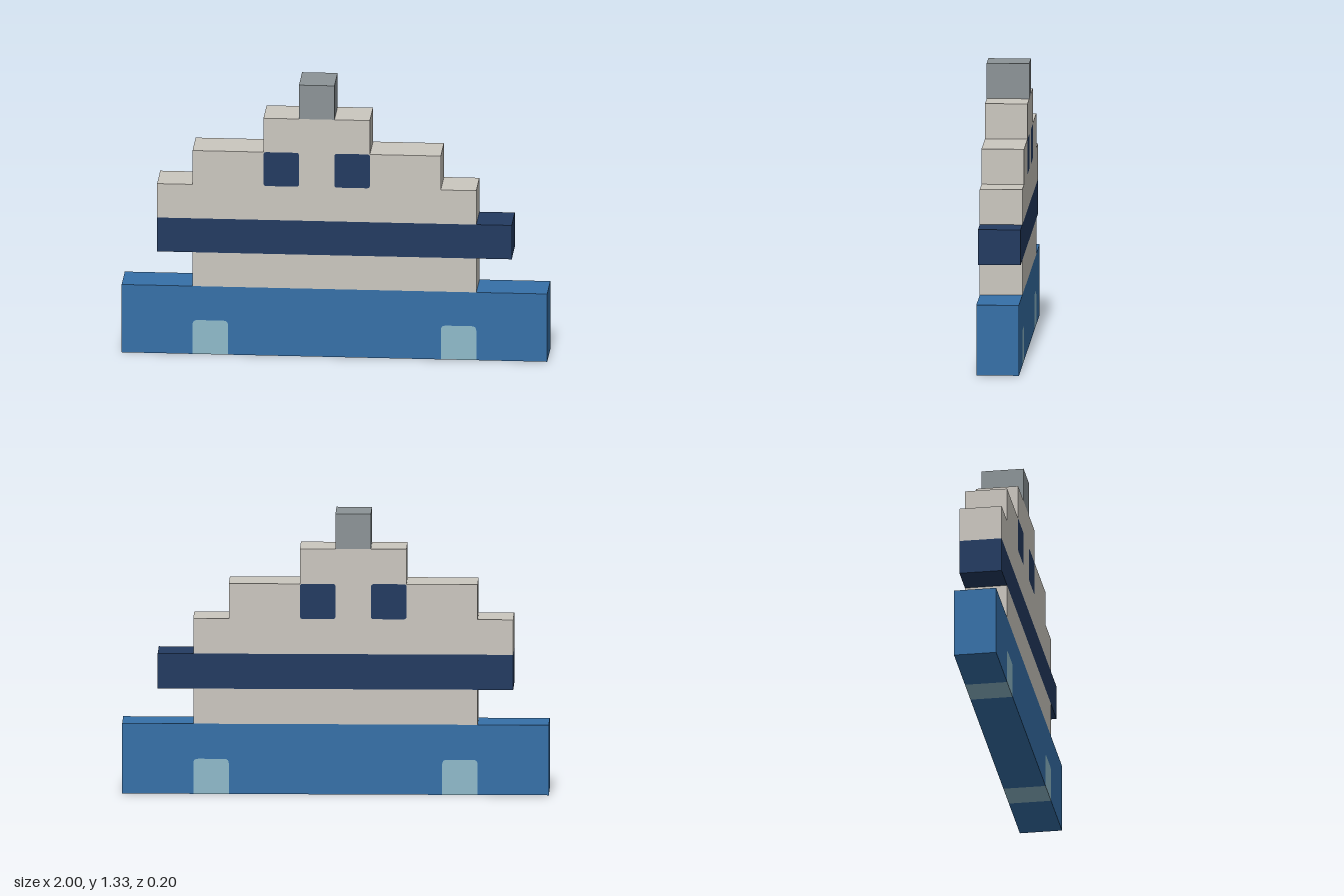
import * as THREE from 'three';

const U = 1 / 6;      // one block of the design
const DEPTH = 0.2;

const material = (name, color) => {
  const m = new THREE.MeshStandardMaterial({ color });
  m.name = name;
  return m;
};

export function createModel() {
  const group = new THREE.Group();
  const blue = material('hull blue', 0x3670a8);
  const navy = material('navy', 0x233b61);
  const cream = material('cream', 0xcbc7bf);
  const grey = material('funnel grey', 0x8c9497);
  const paleBlue = material('pale blue', 0x8fbaca);

  const add = (name, geometry, mat) => {
    const mesh = new THREE.Mesh(geometry, mat);
    mesh.name = name;
    group.add(mesh);
  };

  // Slab through the full depth from a flat outline
  const slab = (shape) => new THREE.ExtrudeGeometry(shape, { depth: DEPTH, bevelEnabled: false, curveSegments: 4 })
    .translate(0, 0, -DEPTH / 2);

  // Box given in block units
  const block = (x0, x1, y0, y1) => new THREE.BoxGeometry((x1 - x0) * U, (y1 - y0) * U, DEPTH)
    .translate((x0 + x1) * U / 2, (y0 + y1) * U / 2, 0);

  const outline = (points) => new THREE.Shape(points.map(([x, y]) => new THREE.Vector2(x * U, y * U)));

  // Square window with four rounded corners
  const windowOutline = (path, x, y, r = 0.013) => {
    const x0 = x * U, x1 = x0 + U, y0 = y * U, y1 = y0 + U;
    path.moveTo(x0 + r, y0);
    path.lineTo(x1 - r, y0);
    path.quadraticCurveTo(x1, y0, x1, y0 + r);
    path.lineTo(x1, y1 - r);
    path.quadraticCurveTo(x1, y1, x1 - r, y1);
    path.lineTo(x0 + r, y1);
    path.quadraticCurveTo(x0, y1, x0, y1 - r);
    path.lineTo(x0, y0 + r);
    path.quadraticCurveTo(x0, y0, x0 + r, y0);
    return path;
  };

  // Arch with rounded top corners, standing on the ground line
  const archOutline = (path, x, r = 0.022) => {
    const x0 = x * U, x1 = x0 + U;
    path.lineTo(x0, 0);
    path.lineTo(x0, U - r);
    path.quadraticCurveTo(x0, U, x0 + r, U);
    path.lineTo(x1 - r, U);
    path.quadraticCurveTo(x1, U, x1, U - r);
    path.lineTo(x1, 0);
    return path;
  };

  // Hull notched for the two pale panels
  const hull = new THREE.Shape();
  hull.moveTo(-6 * U, 0);
  for (const x of [-4, 3]) {
    archOutline(hull, x);
    const panel = new THREE.Shape();
    panel.moveTo(x * U, 0);
    add(x < 0 ? 'rightHullPanel' : 'leftHullPanel', slab(archOutline(panel, x)), paleBlue);
  }
  hull.lineTo(6 * U, 0);
  hull.lineTo(6 * U, 2 * U);
  hull.lineTo(-6 * U, 2 * U);
  add('hull', slab(hull), blue);

  // Lower deck and overhanging band
  add('lowerDeck', block(-4, 4, 2, 3), cream);
  add('deckBand', block(-5, 5, 3, 4), navy);

  // Stepped cabin with window openings, filled flush
  const cabin = outline([
    [-5, 4], [4, 4], [4, 5], [3, 5], [3, 6], [1, 6], [1, 7],
    [-2, 7], [-2, 6], [-4, 6], [-4, 5], [-5, 5],
  ]);
  for (const x of [-2, 0]) {
    cabin.holes.push(windowOutline(new THREE.Path(), x, 5));
    add(x < 0 ? 'rightWindow' : 'leftWindow', slab(windowOutline(new THREE.Shape(), x, 5)), navy);
  }
  add('cabin', slab(cabin), cream);

  // Funnel
  add('funnel', block(-1, 0, 7, 8), grey);

  return group;
}
